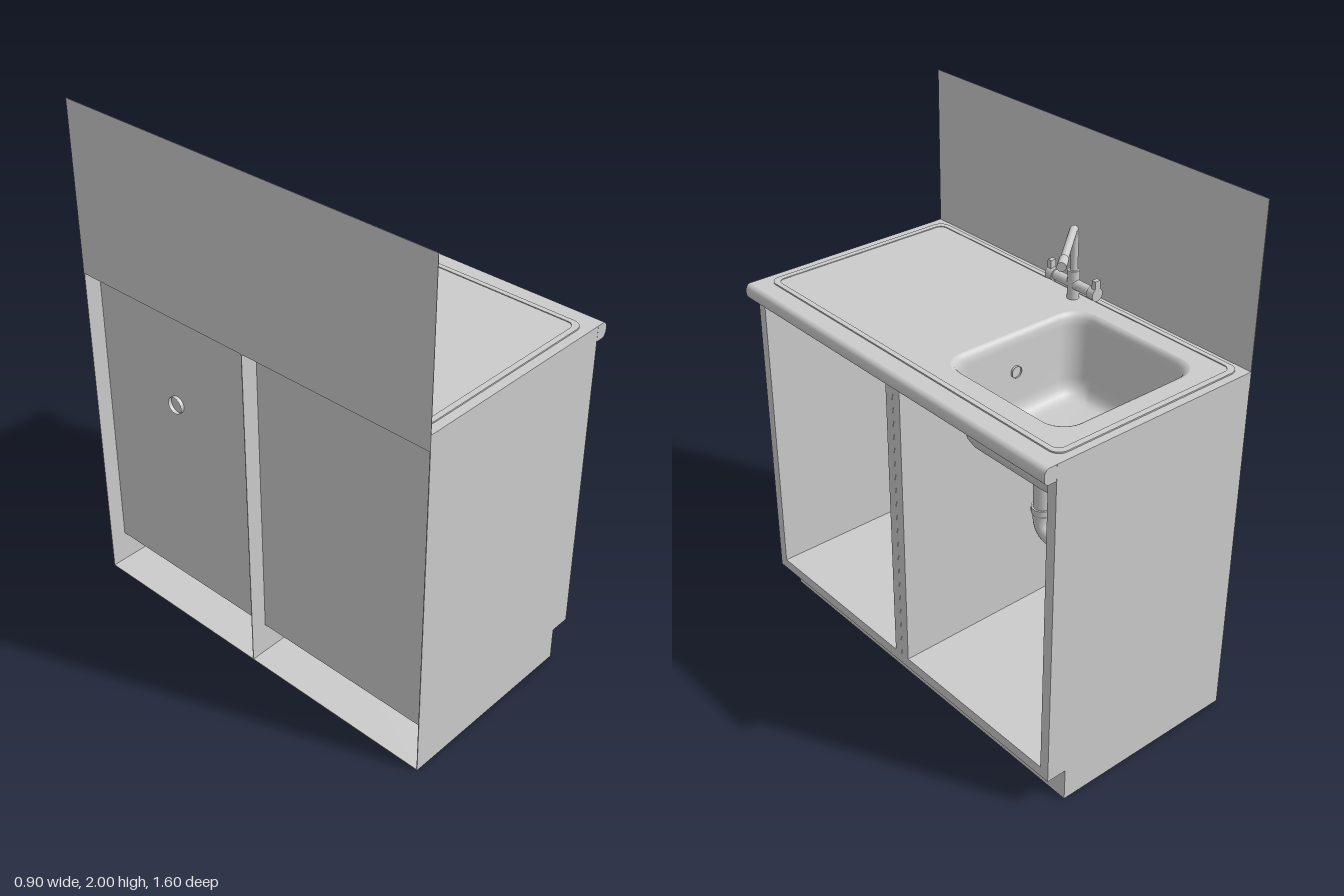
import * as THREE from 'three';

const mat = new THREE.MeshStandardMaterial({ color: 0xcccccc, side: THREE.DoubleSide });
const V = (x, y, z) => new THREE.Vector3(x, y, z);

function add(parent, name, geo) {
  const m = new THREE.Mesh(geo, mat);
  m.name = name;
  parent.add(m);
  return m;
}

// Box given by its limits on each axis
function box(parent, name, x0, x1, y0, y1, z0, z1) {
  const m = add(parent, name, new THREE.BoxGeometry(x1 - x0, y1 - y0, z1 - z0));
  m.position.set((x0 + x1) / 2, (y0 + y1) / 2, (z0 + z1) / 2);
  return m;
}

// Rounded rectangle loop in (x, z)
function loop(x0, x1, z0, z1, r, n = 8) {
  const pts = [];
  const corners = [[x1 - r, z1 - r], [x0 + r, z1 - r], [x0 + r, z0 + r], [x1 - r, z0 + r]];
  corners.forEach(([cx, cz], q) => {
    for (let i = 0; i <= n; i++) {
      const a = (q + i / n) * Math.PI / 2;
      pts.push(new THREE.Vector2(cx + r * Math.cos(a), cz + r * Math.sin(a)));
    }
  });
  return pts;
}

// Horizontal slab whose outline lies in (x, z), with an optional hole
function slab(parent, name, outline, top, thick, hole) {
  const s = new THREE.Shape(outline);
  if (hole) s.holes.push(new THREE.Path(hole));
  const g = new THREE.ExtrudeGeometry(s, { depth: thick, bevelEnabled: false });
  g.rotateX(Math.PI / 2).translate(0, top, 0);
  return add(parent, name, g);
}

// Tube through points with rounded corners
function pipe(parent, name, pts, r, bend) {
  const path = new THREE.CurvePath();
  let from = pts[0];
  const line = (a, b) => { if (a.distanceTo(b) > 1e-3) path.add(new THREE.LineCurve3(a, b)); };
  for (let i = 1; i < pts.length - 1; i++) {
    const p = pts[i];
    const a = p.clone().add(pts[i - 1].clone().sub(p).setLength(bend));
    const b = p.clone().add(pts[i + 1].clone().sub(p).setLength(bend));
    line(from, a);
    path.add(new THREE.QuadraticBezierCurve3(a, p, b));
    from = b;
  }
  line(from, pts[pts.length - 1]);
  return add(parent, name, new THREE.TubeGeometry(path, 80, r, 20));
}

// Cylinder between two points
function rod(parent, name, a, b, r0, r1 = r0) {
  const d = b.clone().sub(a);
  const m = add(parent, name, new THREE.CylinderGeometry(r1, r0, d.length(), 24));
  m.position.copy(a).addScaledVector(d, 0.5);
  m.quaternion.setFromUnitVectors(V(0, 1, 0), d.normalize());
  return m;
}

const bowlHole = () => loop(-0.34, 0.28, -0.685, -0.1, 0.09);
const rect = (x0, x1, z0, z1) => loop(x0, x1, z0, z1, 0.0005, 1);

// Cabinet: two open-fronted carcasses between thin outer sides
function cabinet() {
  const g = new THREE.Group();
  g.name = 'cabinet';
  const t = 0.035, xb = -0.385, xf = 0.4;
  for (const [name, z0, z1] of [['plain', 0.002, 0.797], ['sink', -0.797, -0.002]]) {
    const u = new THREE.Group();
    u.name = name + 'Unit';
    g.add(u);
    box(u, 'sideWall', xb, xf, 0.13, 1.34, z0, z0 + t);
    box(u, 'sideWall', xb, xf, 0.13, 1.34, z1 - t, z1);
    box(u, 'bottomShelf', xb, xf, 0.13, 0.17, z0 + t, z1 - t);
    box(u, 'backPanel', xb, xb + 0.01, 0.17, 1.31, z0 + t, z1 - t);
    slab(u, 'topPanel', rect(xb, xf, z0 + t, z1 - t), 1.34, 0.03,
      name === 'sink' ? bowlHole() : null);
  }
  // Side profile with the toe notch
  const side = new THREE.Shape([[-0.45, 0], [0.32, 0], [0.32, 0.13], [0.4, 0.13], [0.4, 1.34], [-0.45, 1.34]]
    .map(([x, y]) => new THREE.Vector2(x, y)));
  for (const [name, z] of [['leftSide', 0.797], ['divider', -0.0015], ['rightSide', -0.8]]) {
    add(g, name, new THREE.ExtrudeGeometry(side, { depth: 0.003, bevelEnabled: false })).position.z = z;
  }
  box(g, 'toeKick', 0.315, 0.32, 0, 0.13, -0.797, 0.797);
  box(g, 'basePlate', -0.45, 0.315, 0, 0.003, -0.797, 0.797);
  return g;
}

// Worktop with rounded front edge, steel top and raised rim
function worktop() {
  const g = new THREE.Group();
  g.name = 'worktop';
  slab(g, 'counter', rect(-0.45, 0.4, -0.8, 0.8), 1.4, 0.06, bowlHole());
  const nose = new THREE.Shape();
  nose.moveTo(0.4, 1.34);
  nose.lineTo(0.432, 1.34);
  nose.quadraticCurveTo(0.45, 1.345, 0.45, 1.37);
  nose.quadraticCurveTo(0.45, 1.395, 0.432, 1.4);
  nose.lineTo(0.4, 1.4);
  add(g, 'frontEdge', new THREE.ExtrudeGeometry(nose, { depth: 1.6, bevelEnabled: false })).position.z = -0.8;
  slab(g, 'steelTop', loop(-0.43, 0.37, -0.77, 0.765, 0.04), 1.402, 0.004, bowlHole());
  slab(g, 'steelRim', loop(-0.43, 0.37, -0.77, 0.765, 0.04), 1.405, 0.004,
    loop(-0.41, 0.35, -0.748, 0.743, 0.03));
  return g;
}

// Bowl lofted from rounded rectangles, closed at the floor
function bowl() {
  const rows = [[0, 1.402], [0.01, 1.398], [0.018, 1.385], [0.022, 1.36], [0.034, 1.16], [0.04, 1.13],
    [0.052, 1.108], [0.068, 1.096], [0.09, 1.092], [0.15, 1.091]];
  const pos = [], idx = [];
  let n = 0;
  for (const [d, y] of rows) {
    const ring = loop(-0.34 + d, 0.28 - d, -0.685 + d, -0.1 - d, 0.09 - d * 0.3);
    n = ring.length;
    ring.forEach(p => pos.push(p.x, y, p.y));
  }
  for (let k = 0; k < rows.length - 1; k++) {
    for (let i = 0; i < n; i++) {
      const a = k * n + i, b = k * n + (i + 1) % n;
      idx.push(a, a + n, b, b, a + n, b + n);
    }
  }
  const c = pos.length / 3, last = c - n;
  pos.push(-0.03, 1.091, -0.39);
  for (let i = 0; i < n; i++) idx.push(last + i, c, last + (i + 1) % n);
  const geo = new THREE.BufferGeometry();
  geo.setAttribute('position', new THREE.Float32BufferAttribute(pos, 3));
  geo.setIndex(idx);
  geo.computeVertexNormals();
  return geo;
}

// Mixer tap with two handles and a swivelled spout
function tap() {
  const g = new THREE.Group();
  g.name = 'tap';
  const x = -0.375, z = -0.038, y = 1.457;
  rod(g, 'body', V(x, 1.4, z), V(x, 1.51, z), 0.022);
  rod(g, 'crossBar', V(x, y, 0.055), V(x, y, -0.13), 0.019);
  for (const s of [1, -1]) {
    const at = d => V(x, y, z + s * d);
    rod(g, 'handle', at(0.09), at(0.122), 0.024);
    rod(g, 'handleCap', at(0.1), at(0.122), 0.022, 0.025);
    const end = z + s * 0.113;
    box(g, 'lever', x - 0.012, x + 0.012, y, 1.51, end - 0.009, end + 0.009);
  }
  const tip = V(-0.105, 1.682, -0.26);
  const elbow = V(x, 1.682, z);
  pipe(g, 'spout', [V(x, 1.5, z), elbow, tip], 0.014, 0.06);
  rod(g, 'spoutTip', tip.clone().lerp(elbow, 0.18), tip, 0.0165);
  return g;
}

// Waste fitting, trap and overflow below the bowl
function plumbing() {
  const g = new THREE.Group();
  g.name = 'plumbing';
  const x = -0.03, z1 = -0.278, z2 = -0.413, low = 0.684;
  const ring = add(g, 'drainRing', new THREE.TorusGeometry(0.028, 0.004, 8, 32));
  ring.rotation.x = Math.PI / 2;
  ring.position.set(x, 1.092, -0.283);
  rod(g, 'wasteFitting', V(x, 1.02, z1), V(x, 1.09, z1), 0.05);
  pipe(g, 'trap', [V(x, 1.05, z1), V(x, low, z1), V(x, low, z2), V(x, 0.925, z2), V(-0.4, 0.925, z2)], 0.034, 0.067);
  for (const z of [z1, z2]) {
    rod(g, 'trapNut', V(x, 0.768, z), V(x, 0.79, z), 0.041);
    rod(g, 'trapNutLower', V(x, 0.757, z), V(x, 0.768, z), 0.036, 0.041);
  }
  pipe(g, 'overflow', [V(x, 1.265, -0.135), V(x, 1.265, -0.063), V(x, 1.048, -0.063), V(x, 1.048, -0.24)], 0.022, 0.05);
  rod(g, 'overflowNut', V(x, 1.048, -0.2), V(x, 1.048, -0.225), 0.027);
  return g;
}

export function createModel() {
  const model = new THREE.Group();
  model.name = 'kitchenSinkUnit';
  model.add(cabinet(), worktop());
  add(model, 'bowl', bowl());
  box(model, 'splashback', -0.45, -0.448, 1.34, 2, -0.8, 0.8).position.x -= 0.001;
  model.add(tap(), plumbing());
  return model;
}
